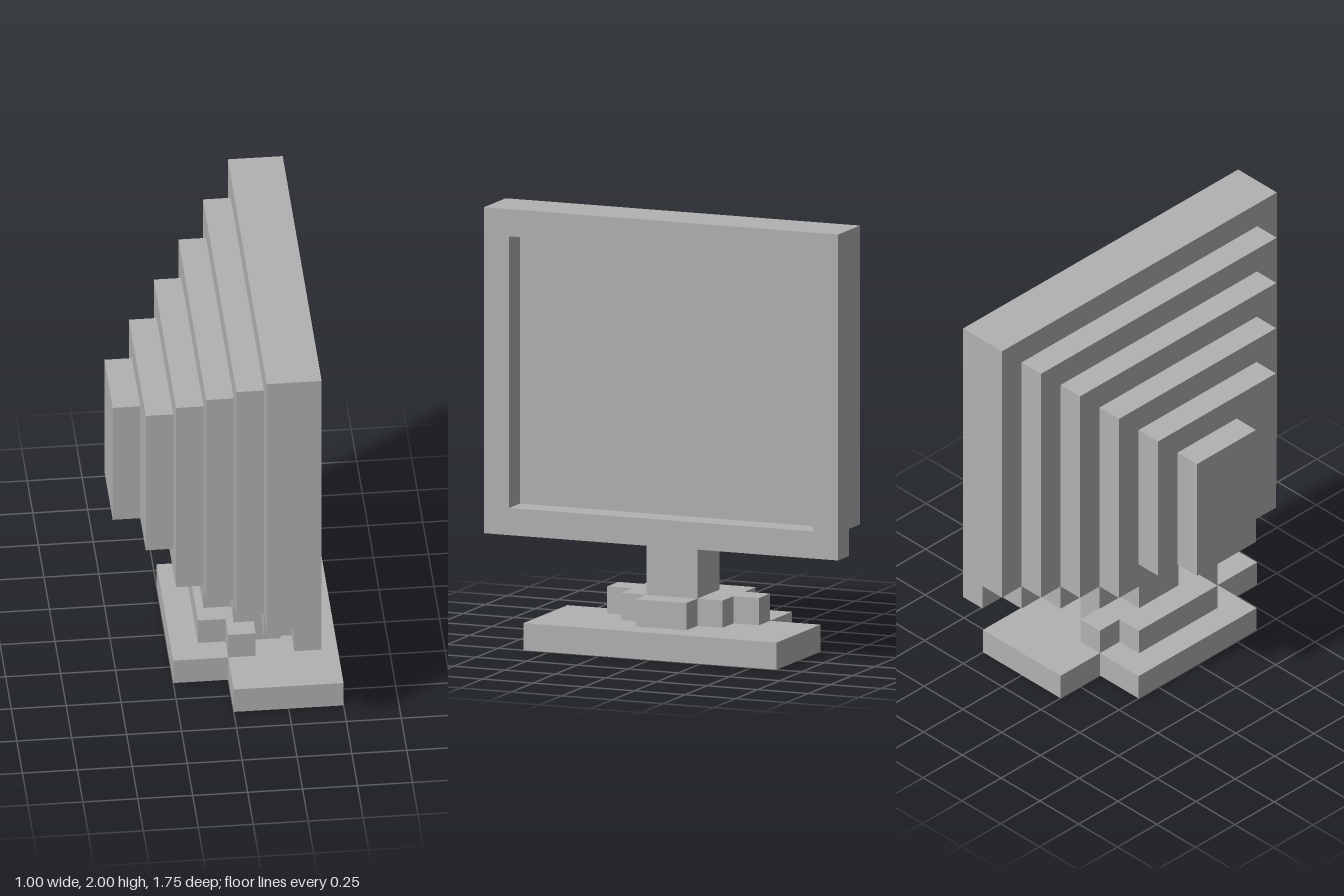
import * as THREE from 'three';

const U = 0.125; // one grid cell

export function createModel() {
  const model = new THREE.Group();
  model.name = 'computerMonitor';
  const grey = new THREE.MeshStandardMaterial({ color: 0xb2b2b2 });
  grey.name = 'plain grey';

  // Box given by its limits in grid cells
  function block(name, x0, x1, y0, y1, z0, z1) {
    const mesh = new THREE.Mesh(
      new THREE.BoxGeometry((x1 - x0) * U, (y1 - y0) * U, (z1 - z0) * U), grey);
    mesh.position.set((x0 + x1) * U / 2, (y0 + y1) * U / 2, (z0 + z1) * U / 2);
    mesh.name = name;
    model.add(mesh);
  }

  // Closed rectangle in cells
  function rect(target, halfWidth, y0, y1) {
    target.moveTo(-halfWidth * U, y0 * U);
    target.lineTo(halfWidth * U, y0 * U);
    target.lineTo(halfWidth * U, y1 * U);
    target.lineTo(-halfWidth * U, y1 * U);
    target.closePath();
    return target;
  }

  // Raised rim around the screen, facing +x
  const rim = rect(new THREE.Shape(), 7, 4, 16);
  rim.holes.push(rect(new THREE.Path(), 6, 5, 15));
  const rimGeometry = new THREE.ExtrudeGeometry(rim, { depth: U, bevelEnabled: false });
  rimGeometry.rotateY(Math.PI / 2).translate(2 * U, 0, 0);
  const rimMesh = new THREE.Mesh(rimGeometry, grey);
  rimMesh.name = 'screenRim';
  model.add(rimMesh);

  // Screen and housing, stepping in toward the back: [x, bottom, top, zMin, zMax]
  [
    [1, 5, 16, -7, 7],
    [0, 5, 15, -6, 6],
    [-1, 5, 14, -5, 5],
    [-2, 5, 13, -4, 4],
    [-3, 6, 12, -3, 3],
    [-4, 6, 11, -2, 1],
  ].forEach(([x, y0, y1, z0, z1], i) =>
    block(i === 0 ? 'screenPanel' : 'housingStep', x, x + 1, y0, y1, z0, z1));

  // Narrower bottom row under the housing
  for (let x = 1; x >= -1; x--) block('housingUnderside', x, x + 1, 4, 5, -5 - x, 5 + x);

  // Stand: neck, stepped collar and two-part base
  block('neck', 0, 2, 2, 4, -1, 1);
  [[-1, 2], [0, 3], [1, 2], [2, 1]].forEach(([x, w]) =>
    block('collarStep', x, x + 1, 1, 2, -w, w));
  block('baseFront', 0, 4, 0, 1, -5, 5);
  block('baseBack', -2, 0, 0, 1, -3, 3);

  return model;
}
